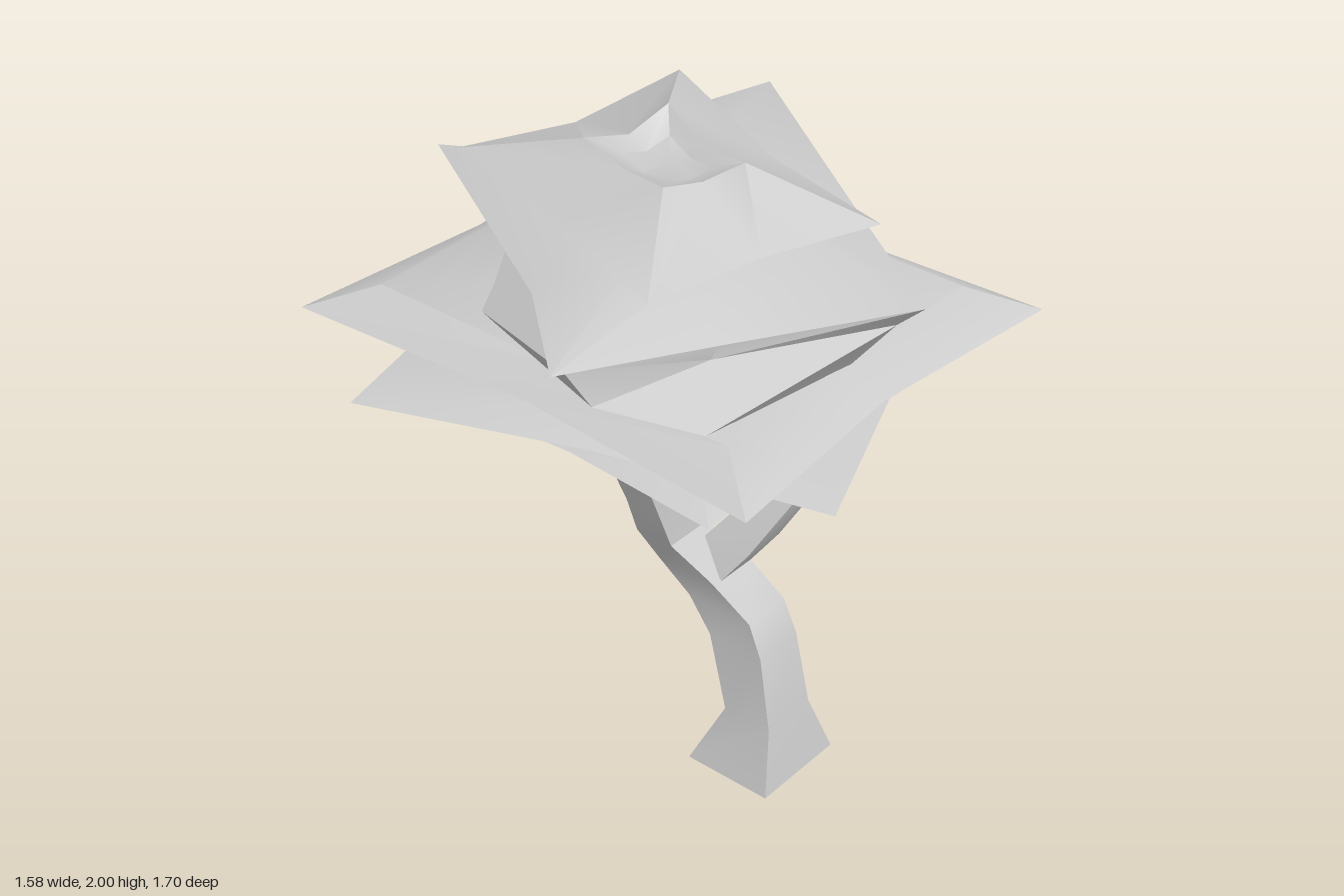
import * as THREE from 'three';
import { toCreasedNormals } from 'three/addons/utils/BufferGeometryUtils.js';

const material = new THREE.MeshStandardMaterial({ color: 0xcccccc, side: THREE.DoubleSide });

// Skins a stack of rings (counter-clockwise from above, bottom to top); caps = [bottom y, top y] closes it.
function loft(name, rings, caps) {
  const n = rings[0].length;
  const positions = rings.flat(2);
  const index = [];
  for (let i = 0; i < rings.length - 1; i++) {
    for (let j = 0; j < n; j++) {
      const k = (j + 1) % n;
      const a = i * n + j, b = i * n + k, c = b + n, d = a + n;
      index.push(a, b, c, a, c, d);
    }
  }
  if (caps) {
    const last = (rings.length - 1) * n;
    const low = positions.length / 3;
    positions.push(0, caps[0], 0, 0, caps[1], 0);
    for (let j = 0; j < n; j++) {
      const k = (j + 1) % n;
      index.push(low, k, j, low + 1, last + j, last + k);
    }
  }
  const geometry = new THREE.BufferGeometry();
  geometry.setAttribute('position', new THREE.Float32BufferAttribute(positions, 3));
  geometry.setIndex(index);
  const mesh = new THREE.Mesh(toCreasedNormals(geometry, 0.6), material);
  mesh.name = name;
  return mesh;
}

// Open four-sided limb; each section is [x, y, z, half width, half depth].
function limb(name, sections) {
  return loft(name, sections.map(([x, y, z, w, d]) => [
    [x + w, y, z + d], [x + w, y, z - d], [x - w, y, z - d], [x - w, y, z + d],
  ]));
}

// Rim of four points with a dented point halfway along each side.
const star = (corners, dent, midY) => corners.flatMap((p, i) => {
  const q = corners[(i + 1) % 4];
  return [p, [(p[0] + q[0]) / 2 * dent, midY, (p[2] + q[2]) / 2 * dent]];
});

// Smaller copy of a rim, with its own scale and height for corners and sides.
const inset = (rim, cornerScale, sideScale, cornerY, sideY) => rim.map(([x, , z], i) => {
  const s = i % 2 ? sideScale : cornerScale;
  return [x * s, i % 2 ? sideY : cornerY, z * s];
});

const box = (w, d, y) => [[w, y, d], [w, y, -d], [-w, y, -d], [-w, y, d]];

export function createModel() {
  const tree = new THREE.Group();
  tree.name = 'tree';

  // Leaning trunk that runs on into the left-hand branch
  const wood = new THREE.Group();
  wood.name = 'wood';
  wood.add(limb('trunk', [
    [0.03, 0, 0.325, 0.16, 0.147], [0.025, 0.2, 0.35, 0.095, 0.083], [0.035, 0.43, 0.285, 0.085, 0.095],
    [0.04, 0.53, 0.217, 0.082, 0.113], [0.025, 0.63, 0.1, 0.085, 0.1], [-0.03, 0.74, 0.025, 0.08, 0.065],
    [-0.08, 0.87, 0.015, 0.07, 0.06], [-0.17, 1.1, -0.01, 0.06, 0.07],
  ]));

  // Side branches
  wood.add(limb('frontBranch', [
    [0.04, 0.615, 0.135, 0.07, 0.07], [0.09, 0.72, 0.195, 0.072, 0.08], [0.18, 0.88, 0.29, 0.07, 0.062],
    [0.235, 1.0, 0.315, 0.06, 0.075], [0.26, 1.13, 0.29, 0.05, 0.05],
  ]));
  wood.add(limb('backBranch', [
    [0.02, 0.66, 0.06, 0.05, 0.05], [0.07, 0.75, -0.04, 0.06, 0.08], [0.12, 0.82, -0.13, 0.06, 0.07],
    [0.17, 0.93, -0.2, 0.06, 0.04], [0.21, 1.1, -0.215, 0.055, 0.045],
  ]));

  // Stacked leaf layers, each swelling from a waist to a pointed rim and back
  const foliage = new THREE.Group();
  foliage.name = 'foliage';

  const lowest = star(box(0.465, 0.52, 1.2), 0.93, 1.2);
  foliage.add(loft('lowestLeafLayer', [
    inset(lowest, 0.42, 0.5, 1.035, 1.06), lowest, inset(lowest, 0.7, 0.88, 1.245, 1.25),
  ], [1.07, 1.26]));

  const wide = star([[0.79, 1.34, 0.47], [0.36, 1.34, -0.85], [-0.79, 1.34, -0.48], [-0.36, 1.34, 0.85]], 0.94, 1.34);
  foliage.add(loft('wideLeafLayer', [
    inset(wide, 0.5, 0.64, 1.24, 1.245), wide, inset(wide, 0.56, 0.75, 1.395, 1.395),
  ], [1.25, 1.41]));

  const middle = star(box(0.66, 0.795, 1.46), 0.92, 1.46);
  foliage.add(loft('middleLeafLayer', [
    inset(middle, 0.6, 0.75, 1.4, 1.4), middle, inset(middle, 0.78, 0.84, 1.535, 1.535),
  ], [1.41, 1.55]));

  // Upper layer: twisted from the square waist below, with a thin lip under its rim
  // Points run right, back right, back, back left, left, front left, front, front right
  const upperWaist = [
    [0.53, 1.53, -0.2], [0.5, 1.53, -0.57], [0, 1.53, -0.6], [-0.43, 1.53, -0.33],
    [-0.64, 1.57, 0.27], [-0.52, 1.54, 0.55], [0, 1.53, 0.62], [0.43, 1.53, 0.33],
  ];
  const upperLip = [
    [0.65, 1.7, -0.21], [0.12, 1.64, -0.58], [-0.07, 1.67, -0.72], [-0.43, 1.64, -0.08],
    [-0.69, 1.68, 0.22], [-0.34, 1.63, 0.42], [0.06, 1.665, 0.72], [0.27, 1.67, 0.45],
  ];
  const upperRim = [
    [0.72, 1.81, -0.23], [0.11, 1.7, -0.59], [-0.08, 1.73, -0.81], [-0.48, 1.7, -0.08],
    [-0.75, 1.7, 0.23], [-0.33, 1.67, 0.43], [0.07, 1.74, 0.8], [0.4, 1.76, 0.29],
  ];
  const upperTop = [
    [0.3, 1.83, -0.1], [0.1, 1.8, -0.35], [-0.05, 1.83, -0.4], [-0.25, 1.8, -0.1],
    [-0.32, 1.79, 0.12], [-0.15, 1.78, 0.25], [0.08, 1.81, 0.4], [0.25, 1.81, 0.18],
  ];
  foliage.add(loft('upperLeafLayer', [upperWaist, upperLip, upperRim, upperTop], [1.54, 1.83]));

  // Crown: four raised tips around a hollow
  const crown = star([[0.44, 1.92, -0.34], [-0.23, 1.86, -0.58], [-0.5, 1.84, 0.34], [0.18, 1.86, 0.57]], 0.95, 1.855);
  const tips = star([[0.14, 2, -0.13], [-0.13, 1.98, -0.2], [-0.19, 1.97, 0.13], [0.04, 1.98, 0.22]], 0.95, 1.95);
  foliage.add(loft('crownLeafLayer', [
    inset(crown, 0.45, 0.6, 1.8, 1.81), crown, tips, inset(tips, 0.6, 0.6, 1.94, 1.92),
  ], [1.8, 1.93]));

  tree.add(wood, foliage);
  return tree;
}
